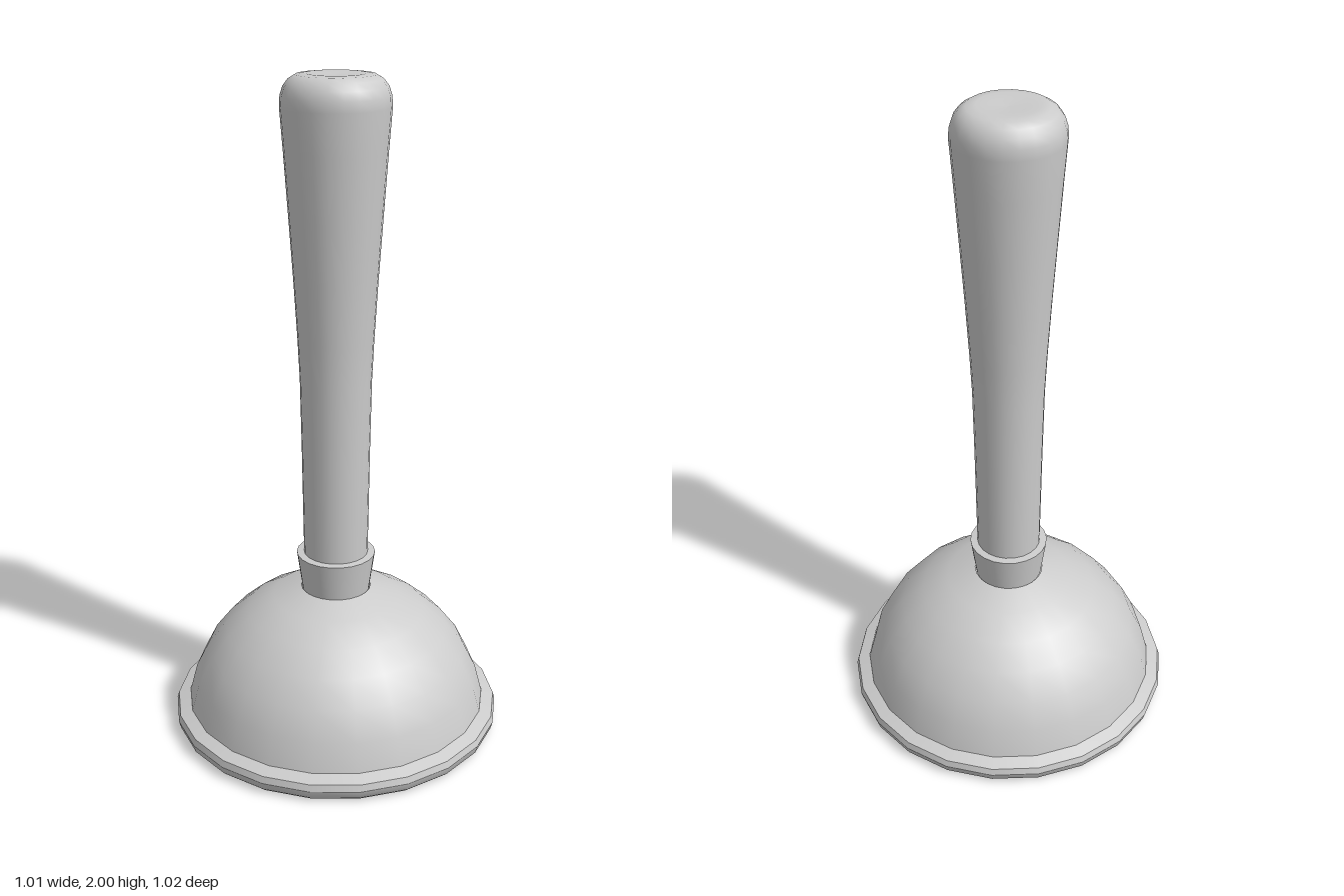
import * as THREE from 'three';

const SIDES = 22;
const material = new THREE.MeshStandardMaterial({ color: 0xcccccc, side: THREE.DoubleSide });

// Turned surface from [radius, height] pairs, smooth along its profile
function turned(name, profile) {
  const points = profile.map(([r, y]) => new THREE.Vector2(r, y));
  const mesh = new THREE.Mesh(new THREE.LatheGeometry(points, SIDES), material);
  mesh.name = name;
  return mesh;
}

// Quarter-ellipse dome profile between two heights
function domeProfile(a, b, y0, y1, steps) {
  const t0 = Math.asin(y0 / b), t1 = Math.asin(y1 / b);
  return Array.from({ length: steps + 1 }, (_, i) => {
    const t = t0 + (t1 - t0) * i / steps;
    return [a * Math.cos(t), b * Math.sin(t)];
  });
}

export function createModel() {
  const group = new THREE.Group();
  group.name = 'plunger';

  // Rubber cup: outer dome, hollow inside, rolled rim
  const cup = new THREE.Group();
  cup.name = 'cup';
  cup.add(
    turned('cupOuter', domeProfile(0.472, 0.457, 0.068, 0.445, 6)),
    turned('cupInner', domeProfile(0.478, 0.31, 0, 0.31, 8).reverse()),
    turned('rimTop', [[0.505, 0.057], [0.467, 0.07]]),
    turned('rimUpperSide', [[0.511, 0.037], [0.505, 0.057]]),
    turned('rimLowerSide', [[0.478, 0], [0.492, 0.002], [0.505, 0.014], [0.511, 0.037]])
  );
  group.add(cup);

  // Flared collar gripping the handle
  const collar = new THREE.Group();
  collar.name = 'collar';
  collar.add(
    turned('collarSide', [[0.104, 0.44], [0.121, 0.56]]),
    turned('collarTop', [[0.121, 0.56], [0.09, 0.563]])
  );
  group.add(collar);

  // Tapered handle with a rounded, slightly dished end
  group.add(turned('handle', [
    [0.097, 0.44], [0.099, 0.6], [0.103, 0.9], [0.107, 1.12], [0.113, 1.25],
    [0.123, 1.42], [0.135, 1.6], [0.148, 1.79], [0.157, 1.91], [0.155, 1.94],
    [0.147, 1.965], [0.132, 1.985], [0.112, 1.997], [0.085, 2], [0.05, 1.997], [0, 1.995]
  ]));

  return group;
}
